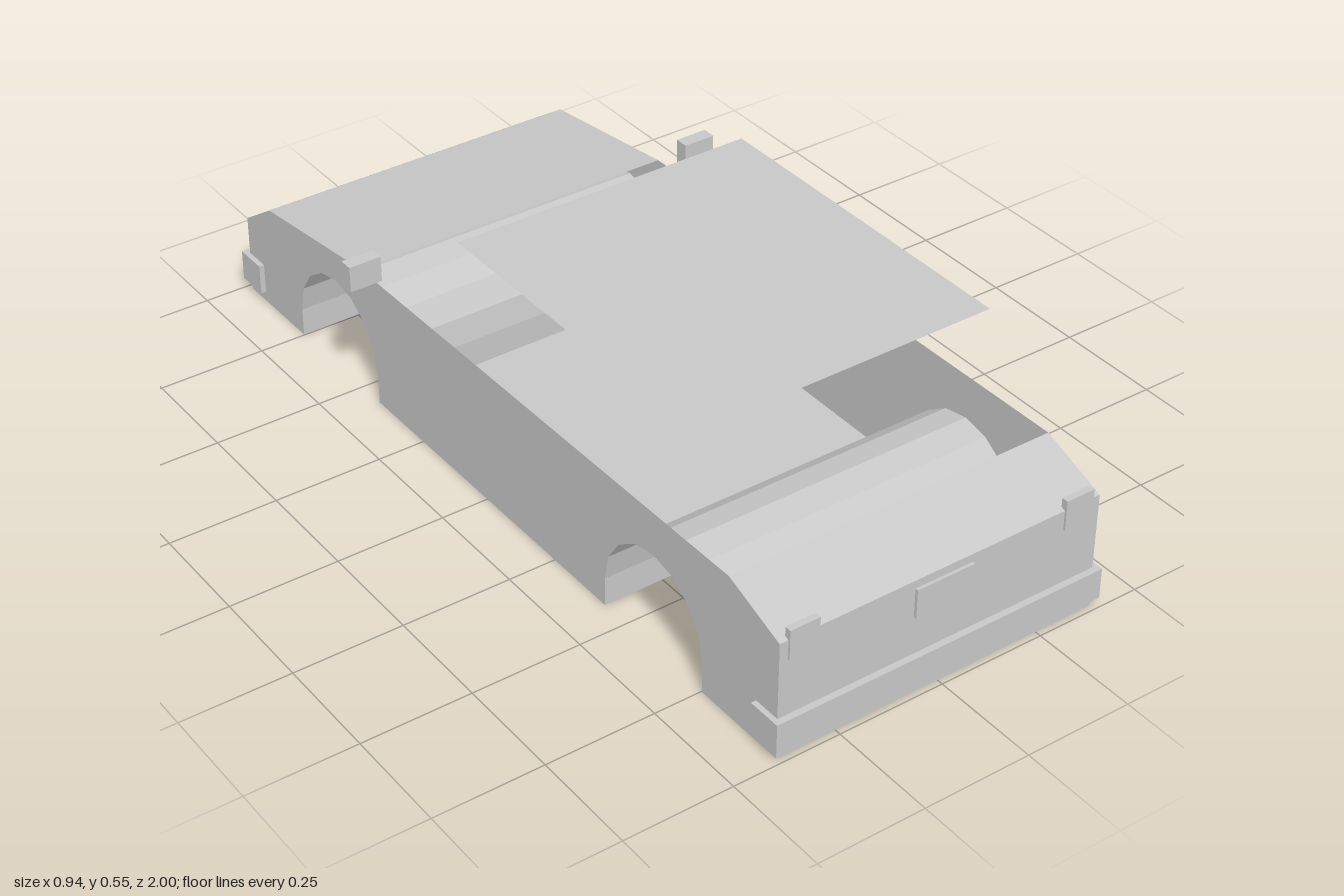
import * as THREE from 'three';

const paint = new THREE.MeshStandardMaterial({ color: 0xc8c8c8, flatShading: true, side: THREE.DoubleSide });
paint.name = 'lightGrey';

const HALF = 0.39; // half width of the body

// Box from its min and max corners
function box(name, [x0, y0, z0], [x1, y1, z1]) {
  const mesh = new THREE.Mesh(new THREE.BoxGeometry(x1 - x0, y1 - y0, z1 - z0), paint);
  mesh.position.set((x0 + x1) / 2, (y0 + y1) / 2, (z0 + z1) / 2);
  mesh.name = name;
  return mesh;
}

// Side outline as [z, y], from the cowl round the nose, underside and tail to the rear deck
function bodyProfile() {
  const arch = (cz) => {
    const pts = [[cz - 0.162, 0]];
    for (let i = 0; i <= 8; i++) {
      const a = Math.PI * (1 - i / 8);
      pts.push([cz + 0.162 * Math.cos(a), 0.067 + 0.162 * Math.sin(a)]);
    }
    pts.push([cz + 0.162, 0]);
    return pts;
  };
  return [
    [-0.48, 0.317], [-0.873, 0.265], [-0.983, 0.19], [-0.983, 0],
    ...arch(-0.59), ...arch(0.59),
    [0.985, 0], [0.985, 0.275], [0.83, 0.332],
  ];
}

// Sheet across the full width along the profile; the cabin stays open on top
function shellGeometry(profile) {
  const pos = [];
  for (let i = 0; i < profile.length - 1; i++) {
    const [za, ya] = profile[i];
    const [zb, yb] = profile[i + 1];
    pos.push(-HALF, ya, za, HALF, ya, za, HALF, yb, zb);
    pos.push(-HALF, ya, za, HALF, yb, zb, -HALF, yb, zb);
  }
  const geo = new THREE.BufferGeometry();
  geo.setAttribute('position', new THREE.Float32BufferAttribute(pos, 3));
  geo.computeVertexNormals();
  return geo;
}

export function createModel() {
  const car = new THREE.Group();
  car.name = 'carBody';

  const profile = bodyProfile();
  const shell = new THREE.Mesh(shellGeometry(profile), paint);
  shell.name = 'bodyShell';
  car.add(shell);

  for (const s of [1, -1]) {
    const side = s > 0 ? 'left' : 'right';

    // Flat side panel with wheel arches
    const shape = new THREE.Shape(profile.map(([z, y]) => new THREE.Vector2(-s * z, y)));
    const panel = new THREE.Mesh(new THREE.ShapeGeometry(shape).rotateY(s * Math.PI / 2), paint);
    panel.position.x = s * HALF;
    panel.name = side + 'SidePanel';
    car.add(panel);

    // Paired details
    const pair = (name, a, b, y0, y1, z0, z1) =>
      car.add(box(side + name, [Math.min(s * a, s * b), y0, z0], [Math.max(s * a, s * b), y1, z1]));
    pair('Mirror', 0.394, 0.47, 0.34, 0.4, -0.414, -0.382);
    pair('TailLamp', 0.3, 0.37, 0.23, 0.3, 0.975, 0.99);
    pair('Headlamp', 0.275, 0.375, 0.105, 0.162, -0.988, -0.975);
  }

  // Bumpers, number plate and grille
  car.add(box('tailBumper', [-0.402, 0.025, 0.92], [0.402, 0.097, 1]));
  car.add(box('noseBumper', [-0.402, 0.025, -1], [0.402, 0.097, -0.92]));
  car.add(box('numberPlate', [-0.07, 0.187, 0.98], [0.07, 0.256, 0.992]));
  car.add(box('grille', [-0.197, 0.1, -0.99], [0.197, 0.155, -0.975]));

  // Thin roof sheet above the open cabin
  const roof = new THREE.Mesh(new THREE.PlaneGeometry(0.715, 0.805).rotateX(-Math.PI / 2), paint);
  roof.position.set(0, 0.55, 0.27);
  roof.name = 'roof';
  car.add(roof);

  return car;
}
